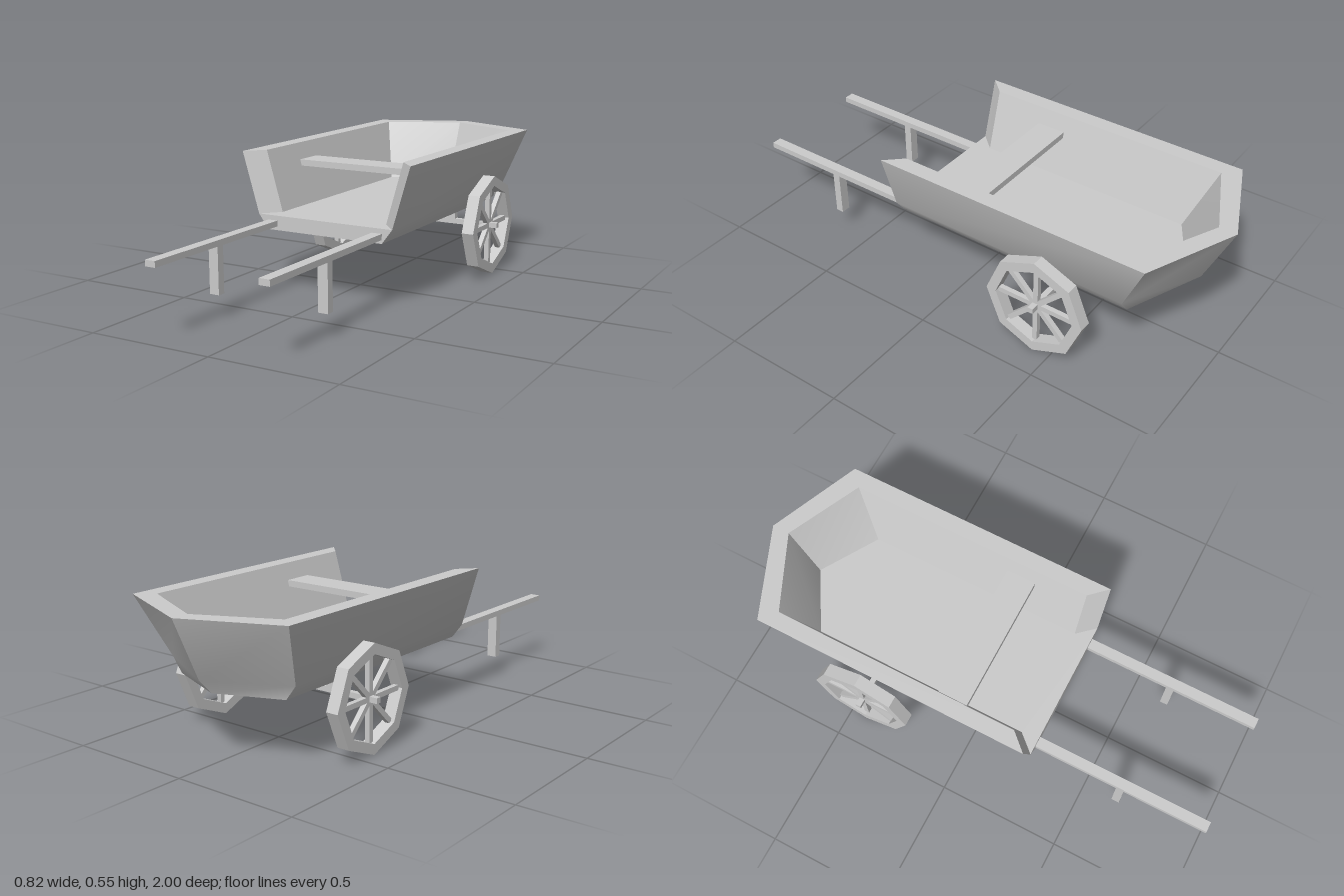
import * as THREE from 'three';
import { toCreasedNormals } from 'three/addons/utils/BufferGeometryUtils.js';

const material = new THREE.MeshStandardMaterial({ color: 0xcccccc });

function addMesh(parent, name, geometry, x = 0, y = 0, z = 0) {
  const mesh = new THREE.Mesh(geometry, material);
  mesh.name = name;
  mesh.position.set(x, y, z);
  parent.add(mesh);
  return mesh;
}

// Box given by its extents on each axis
function addBox(parent, name, [x0, x1], [y0, y1], [z0, z1]) {
  return addMesh(parent, name, new THREE.BoxGeometry(x1 - x0, y1 - y0, z1 - z0),
    (x0 + x1) / 2, (y0 + y1) / 2, (z0 + z1) / 2);
}

// U-shaped outline open at the front: front corner, shoulder, rear tip, and mirrored
function outline(y, x, zFront, zShoulder, zTip) {
  return [[x, y, zFront], [x, y, zShoulder], [0, y, zTip], [-x, y, zShoulder], [-x, y, zFront]];
}

function cartBody() {
  const rings = [
    outline(0.258, 0.25, 0.28, -0.735, -0.835),  // underside
    outline(0.315, 0.293, 0.28, -0.735, -0.89),  // chine
    outline(0.555, 0.365, 0.28, -0.845, -1.0),   // outer rim
    outline(0.555, 0.30, 0.21, -0.79, -0.93),    // inner rim
    outline(0.315, 0.23, 0.21, -0.69, -0.83),    // floor
  ];
  const [under, chine, outer, inner, floor] = rings;
  const positions = [];
  const face = (...p) => {
    for (let i = 1; i < p.length - 1; i++) positions.push(...p[0], ...p[i], ...p[i + 1]);
  };
  // Outer walls, rim and inner walls
  for (let r = 0; r < rings.length - 1; r++) {
    const a = rings[r], b = rings[r + 1];
    for (let i = 0; i < 4; i++) face(a[i], a[i + 1], b[i + 1], b[i]);
  }
  // Floor, its front lip, front edge and underside
  face(...floor);
  face(floor[4], chine[4], chine[0], floor[0]);
  face(under[4], under[0], chine[0], chine[4]);
  face(...[...under].reverse());
  // Slanted front ends of both walls
  face(chine[0], outer[0], inner[0], floor[0]);
  face(floor[4], inner[4], outer[4], chine[4]);

  const geometry = new THREE.BufferGeometry();
  geometry.setAttribute('position', new THREE.Float32BufferAttribute(positions, 3));
  return toCreasedNormals(geometry, 0.45);
}

function octagon(target, radius) {
  for (let i = 0; i < 8; i++) {
    const a = i * Math.PI / 4;
    target[i ? 'lineTo' : 'moveTo'](radius * Math.cos(a), radius * Math.sin(a));
  }
  target.closePath();
  return target;
}

function createWheel(name) {
  const wheel = new THREE.Group();
  wheel.name = name;
  const width = 0.05;
  const shape = octagon(new THREE.Shape(), 0.206);
  shape.holes.push(octagon(new THREE.Path(), 0.165));
  const rim = new THREE.ExtrudeGeometry(shape, { depth: width, bevelEnabled: false });
  rim.translate(0, 0, -width / 2);
  rim.rotateY(Math.PI / 2);
  addMesh(wheel, 'rim', rim);
  // Four bars through the hub make eight spokes
  for (let i = 0; i < 4; i++) {
    const spoke = addMesh(wheel, 'spoke', new THREE.BoxGeometry(0.02, 0.35, 0.02));
    spoke.rotation.x = i * Math.PI / 4;
  }
  return wheel;
}

export function createModel() {
  const cart = new THREE.Group();
  cart.name = 'handcart';

  addMesh(cart, 'body', cartBody());
  addBox(cart, 'seat', [-0.28, 0.28], [0.465, 0.49], [-0.118, 0.002]);

  // Axle
  const axleY = 0.207, axleZ = -0.43;
  addBox(cart, 'axle', [-0.408, 0.408], [0.197, 0.218], [axleZ - 0.011, axleZ + 0.011]);

  for (const side of [1, -1]) {
    const label = side > 0 ? 'left' : 'right';
    const span = (a, b) => (side > 0 ? [a, b] : [-b, -a]);
    const wheel = createWheel(label + 'Wheel');
    wheel.position.set(side * 0.365, axleY, axleZ);
    cart.add(wheel);

    // Pull handle with its prop leg, and the axle bracket
    addBox(cart, label + 'Handle', span(0.208, 0.25), [0.273, 0.296], [0.26, 1.0]);
    addBox(cart, label + 'Leg', span(0.21, 0.25), [0.092, 0.28], [0.626, 0.658]);
    addBox(cart, label + 'AxleBracket', span(0.18, 0.22), [0.2, 0.27], [axleZ - 0.011, axleZ + 0.011]);
  }
  return cart;
}
